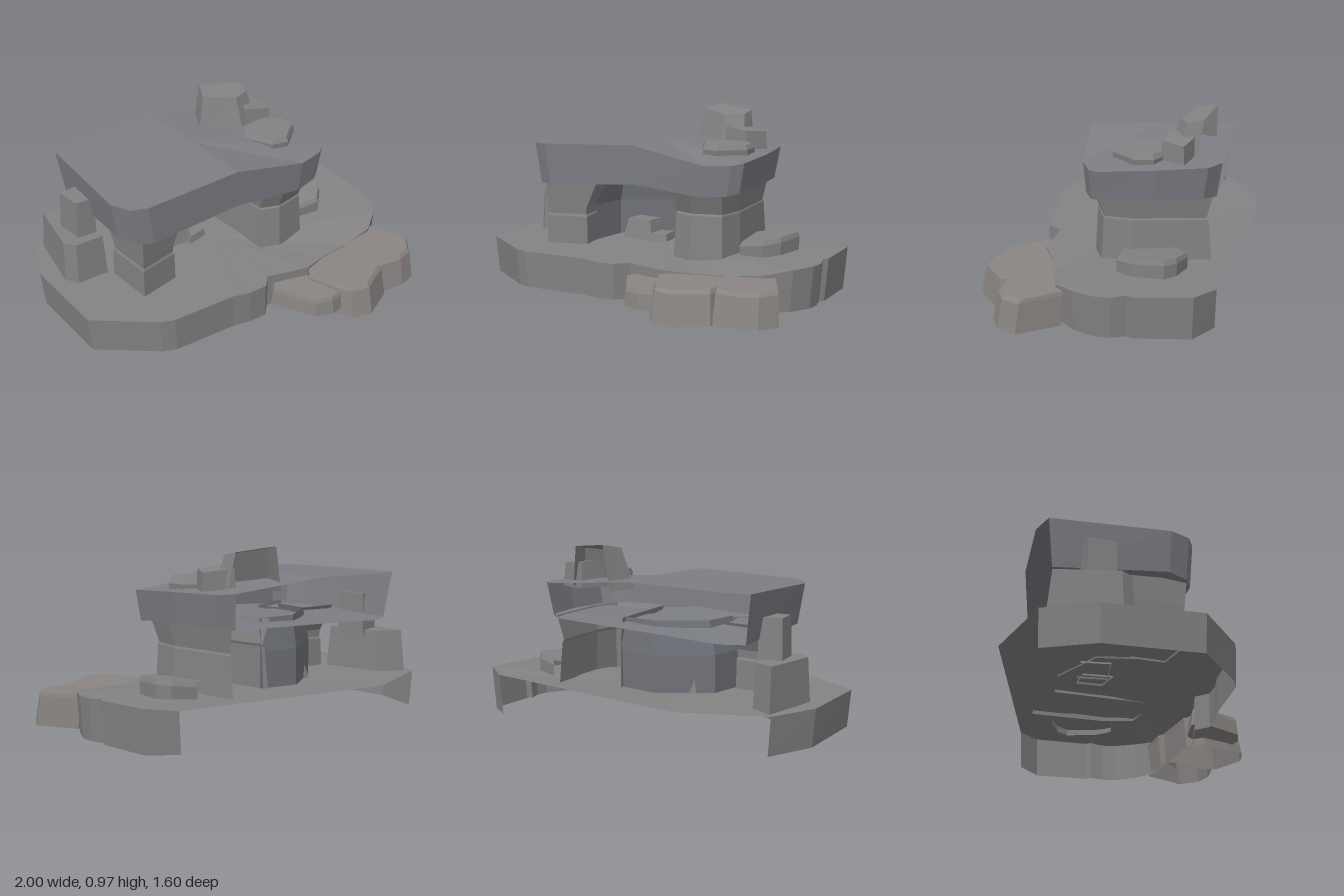
import * as THREE from 'three';

const rock = color => new THREE.MeshStandardMaterial({ color, flatShading: true, side: THREE.DoubleSide });
const greyRock = rock(0x828283);
const groundRock = rock(0x848283);
const roofRock = rock(0x7c7e84);
const shadedRock = rock(0x70737a);
const warmRock = rock(0x8a8583);

// Joins rings of [x, y, z] points, bottom to top, into a faceted shell.
// Outlines run anticlockwise seen from above. Walls listed by hasWall only; caps fan from a centre.
function loft(name, material, rings, { top = true, bottom = false, hasWall = () => true, closed = true, peak } = {}) {
  const pos = [], n = rings[0].length;
  const tri = (...p) => p.forEach(v => pos.push(...v));
  const centre = ring => [0, 1, 2].map(k => ring.reduce((s, p) => s + p[k], 0) / n);
  for (let r = 0; r + 1 < rings.length; r++) {
    for (let i = 0; i < (closed ? n : n - 1); i++) {
      if (!hasWall(i)) continue;
      const j = (i + 1) % n, a = rings[r], b = rings[r + 1];
      tri(a[i], a[j], b[j]);
      tri(a[i], b[j], b[i]);
    }
  }
  const last = rings[rings.length - 1], up = peak ?? centre(last), down = centre(rings[0]);
  for (let i = 0; i < n; i++) {
    const j = (i + 1) % n;
    if (top) tri(last[i], last[j], up);
    if (bottom) tri(rings[0][j], rings[0][i], down);
  }
  const geometry = new THREE.BufferGeometry();
  geometry.setAttribute('position', new THREE.Float32BufferAttribute(pos, 3));
  geometry.computeVertexNormals();
  const mesh = new THREE.Mesh(geometry, material);
  mesh.name = name;
  return mesh;
}

// A stone: one anticlockwise outline of [x, z] repeated at levels of [y, scale, shiftX, shiftZ].
// The upper levels tilt by tiltX and tiltZ.
function stone(name, material, outline, levels, { tiltX = 0, tiltZ = 0, ...options } = {}) {
  const cx = outline.reduce((s, p) => s + p[0], 0) / outline.length;
  const cz = outline.reduce((s, p) => s + p[1], 0) / outline.length;
  const rings = levels.map(([y, s, dx = 0, dz = 0], k) => outline.map(([x, z]) => [
    cx + (x - cx) * s + dx,
    y + (k > 0 ? tiltX * (x - cx) + tiltZ * (z - cz) : 0),
    cz + (z - cz) * s + dz]));
  return loft(name, material, rings, options);
}

export function createModel() {
  const model = new THREE.Group();
  model.name = 'rockShelter';

  // Ground slab, [x, z, top height]; hollow below and open along the back
  const ground = [
    [-0.8, -0.72, 0.2], [-0.95, -0.46, 0.2], [-1, 0.05, 0.2], [-0.73, 0.31, 0.2],
    [-0.66, 0.345, 0.2], [-0.3, 0.39, 0.2],
    [-0.2, 0.42, 0.195], [-0.1, 0.43, 0.195], [-0.03, 0.37, 0.195], [0.06, 0.4, 0.19],
    [0.2, 0.45, 0.19], [0.34, 0.42, 0.18], [0.52, 0.42, 0.18], [0.72, 0.41, 0.2], [0.85, 0.33, 0.22],
    [0.93, 0.23, 0.225], [0.95, 0.15, 0.225], [0.94, 0.07, 0.23], [0.965, 0.05, 0.23],
    [1, -0.25, 0.235], [0.88, -0.38, 0.22], [-0.32, -0.8, 0.2]];
  model.add(loft('groundSlab', groundRock, [
    ground.map(([x, z]) => [x * 0.98, 0, z * 0.99]),
    ground.map(([x, z, y]) => [x, y, z])],
  { hasWall: i => i < ground.length - 2, peak: [0, 0.2, -0.1] }));

  // Roof slab, [x, z, top height, bottom height]; hollow and open along the back
  const roof = [
    [-0.67, -0.65, 0.775, 0.52], [-0.76, -0.03, 0.765, 0.55], [-0.72, 0.08, 0.765, 0.54],
    [-0.64, 0.13, 0.77, 0.54], [-0.09, 0.19, 0.795, 0.58], [0.33, 0.25, 0.715, 0.545],
    [0.48, 0.23, 0.72, 0.555], [0.54, 0.19, 0.73, 0.57], [0.585, -0.1, 0.745, 0.575],
    [0.58, -0.37, 0.75, 0.575], [0.52, -0.45, 0.755, 0.565], [-0.04, -0.61, 0.8, 0.55],
    [-0.53, -0.68, 0.78, 0.52]];
  model.add(loft('roofSlab', roofRock, [
    roof.map(([x, z, , y]) => [x * 0.95, y, z * 0.95]),
    roof.map(([x, z, y]) => [x, y, z])],
  { bottom: true, hasWall: i => i < 10, peak: [-0.06, 0.798, -0.2] }));

  // Piers: a lower block with a ledge and a flared block above; the right one is open behind
  const leftPier = [[-0.65, 0.08], [-0.42, 0.05], [-0.42, -0.13], [-0.64, -0.2]];
  const rightPier = [[0.14, 0.12], [0.24, 0.17], [0.41, 0.15], [0.46, 0], [0.48, -0.39], [0.15, -0.36]];
  const openBehind = { top: false, hasWall: i => i !== 4 };
  model.add(
    stone('leftPierLower', greyRock, leftPier, [[0.19, 1.02], [0.355, 1], [0.37, 0.94]]),
    stone('leftPierUpper', greyRock, leftPier, [[0.36, 0.94], [0.41, 0.98], [0.56, 1.3, 0.03, -0.03]], { top: false }),
    stone('rightPierLower', greyRock, rightPier, [[0.19, 1.06], [0.43, 1], [0.445, 0.96]], openBehind),
    stone('rightPierUpper', greyRock, rightPier, [[0.44, 0.97], [0.58, 1.12, 0, 0.02]], openBehind));

  // Back wall of the hollow
  const wall = [[-0.42, -0.08], [-0.36, -0.3], [-0.06, -0.42], [0.16, -0.34]];
  model.add(loft('backWall', shadedRock, [
    wall.map(([x, z]) => [x, 0.19, z]),
    wall.map(([x, z]) => [x, 0.4, z]),
    wall.map(([x, z]) => [x * 0.9, 0.58, z * 0.95])],
  { top: false, closed: false }));

  // Stones on the ground
  model.add(
    stone('leftOuterStone', greyRock, [[-0.78, -0.68], [-0.88, -0.32], [-0.84, -0.25], [-0.66, -0.23], [-0.66, -0.58]],
      [[0.18, 1], [0.43, 0.9]]),
    stone('leftTallStone', greyRock, [[-0.78, -0.48], [-0.78, -0.32], [-0.67, -0.3], [-0.65, -0.48]],
      [[0.4, 1], [0.64, 0.92]]),
    stone('rightStone', groundRock, [[0.48, 0.06], [0.62, 0.1], [0.7, 0.03], [0.76, -0.13], [0.72, -0.2], [0.6, -0.27], [0.48, -0.24]],
      [[0.19, 0.98], [0.28, 1], [0.305, 0.93]], { tiltX: 0.14, hasWall: i => i !== 5 && i !== 6 }),
    stone('hollowStoneTall', greyRock, [[-0.31, -0.2], [-0.11, -0.16], [-0.08, -0.32], [-0.28, -0.36]],
      [[0.19, 1], [0.31, 0.7]]),
    stone('hollowStoneLow', greyRock, [[-0.15, -0.14], [-0.02, -0.16], [-0.01, -0.3], [-0.13, -0.3]],
      [[0.19, 1], [0.24, 0.85]]));

  // Stepping stones at the front
  const step = y => [[0, 1], [y - 0.02, 0.94, 0, -0.02], [y, 0.9, 0, -0.03]];
  model.add(
    stone('frontStoneLeft', warmRock, [[-0.04, 0.41], [0.06, 0.66], [0.15, 0.7], [0.23, 0.69], [0.25, 0.5], [0.17, 0.4], [0, 0.36]],
      [[0.04, 1], [0.12, 0.95], [0.14, 0.9]], { bottom: true }),
    stone('frontStoneMiddle', warmRock, [[0.16, 0.5], [0.2, 0.66], [0.24, 0.76], [0.35, 0.8], [0.54, 0.72], [0.6, 0.5], [0.52, 0.4], [0.23, 0.42]],
      step(0.175)),
    stone('frontStoneRight', warmRock, [[0.5, 0.43], [0.54, 0.7], [0.68, 0.73], [0.78, 0.71], [0.86, 0.62], [0.78, 0.39], [0.57, 0.39]],
      step(0.18), { tiltZ: -0.03 }));

  // Stones on the roof; the tall one is open behind
  model.add(
    stone('roofStoneTall', greyRock, [[0.08, -0.33], [0.29, -0.19], [0.42, -0.22], [0.44, -0.33], [0.16, -0.47]],
      [[0.73, 1], [0.945, 0.74, 0.01, -0.04]], { tiltZ: -0.15, hasWall: i => i !== 3 }),
    stone('roofStoneStep', greyRock, [[0.3, -0.2], [0.45, -0.14], [0.54, -0.25], [0.38, -0.35]],
      [[0.72, 1], [0.86, 0.9]], { tiltX: -0.1 }),
    stone('roofStoneFlat', greyRock, [[0.21, -0.1], [0.27, 0.07], [0.36, 0.1], [0.5, 0], [0.51, -0.1], [0.43, -0.18], [0.25, -0.17]],
      [[0.71, 0.95], [0.775, 1], [0.8, 0.9]]));

  return model;
}
